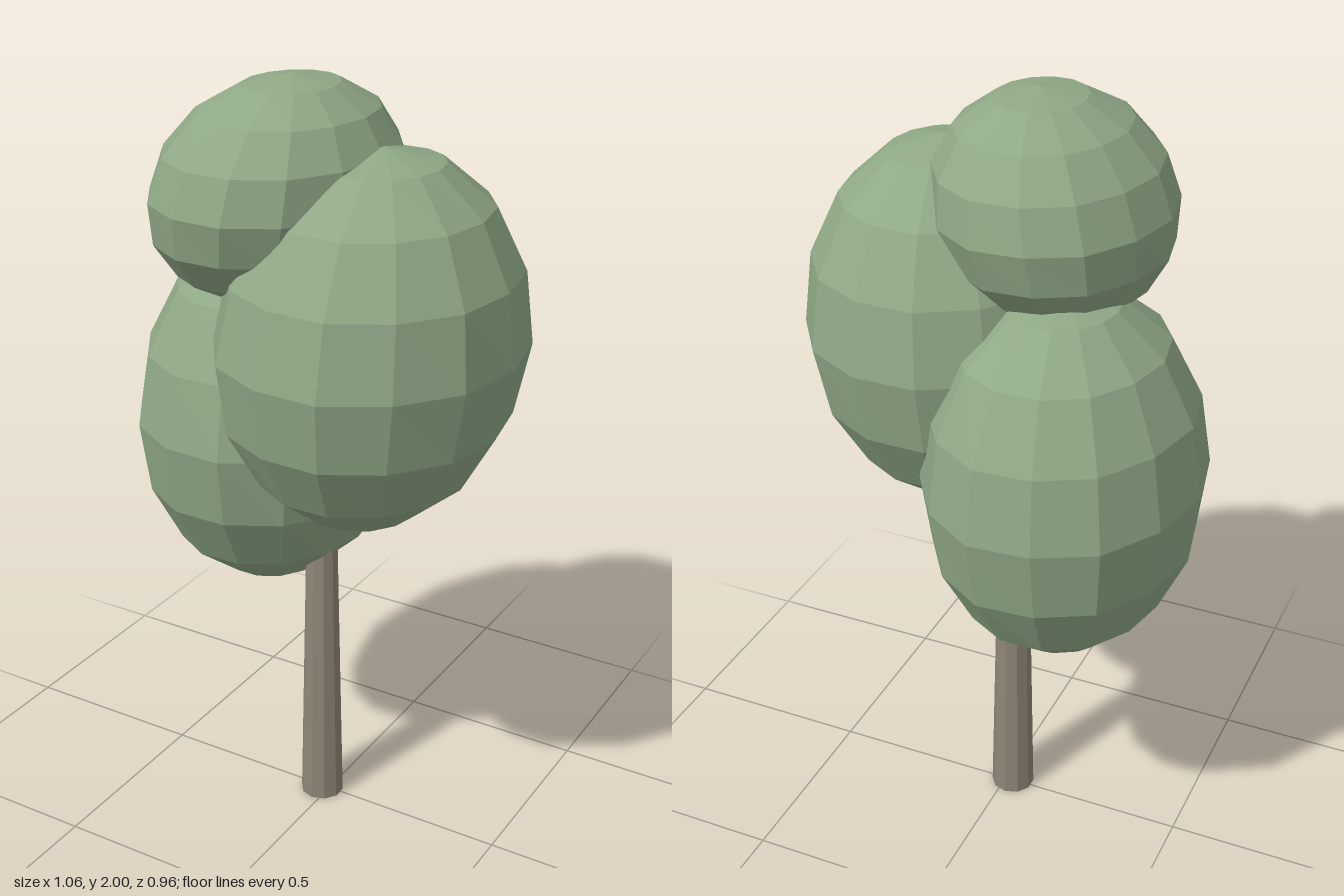
import * as THREE from 'three';

export function createModel() {
  const tree = new THREE.Group();
  tree.name = 'tree';

  const leaf = new THREE.MeshStandardMaterial({ color: 0x8fa886, flatShading: true });
  leaf.name = 'leaf green';
  const bark = new THREE.MeshStandardMaterial({ color: 0x8f8577, flatShading: true });
  bark.name = 'bark brown';

  // Tapered trunk, its top hidden inside the foliage
  const trunk = new THREE.Mesh(new THREE.CylinderGeometry(0.038, 0.058, 0.95, 10), bark);
  trunk.name = 'trunk';
  trunk.position.set(-0.02, 0.475, 0.005);
  tree.add(trunk);

  // Faceted ellipsoid with a slight lean and gently uneven surface
  function addFoliage(name, centre, radii, lean, phase) {
    const geo = new THREE.SphereGeometry(1, 14, 8);
    const pos = geo.attributes.position;
    const v = new THREE.Vector3();
    for (let i = 0; i < pos.count; i++) {
      v.fromBufferAttribute(pos, i);
      const bump = 1 + 0.018 * Math.sin(7 * v.x + phase) * Math.cos(6 * v.z - phase) * (1 - v.y * v.y);
      const y = v.y * radii[1];
      pos.setXYZ(i, v.x * radii[0] * bump + lean * y, y, v.z * radii[2] * bump);
    }
    geo.computeVertexNormals();
    const mesh = new THREE.Mesh(geo, leaf);
    mesh.name = name;
    mesh.position.set(...centre);
    tree.add(mesh);
  }

  addFoliage('lowerFoliage', [-0.19, 1.11, -0.07], [0.345, 0.48, 0.415], 0.02, 0.6);
  addFoliage('middleFoliage', [0.165, 1.39, 0.075], [0.365, 0.47, 0.412], 0.05, 2.1);
  addFoliage('topFoliage', [-0.09, 1.73, 0.085], [0.288, 0.27, 0.35], 0.16, 3.9);

  return tree;
}
